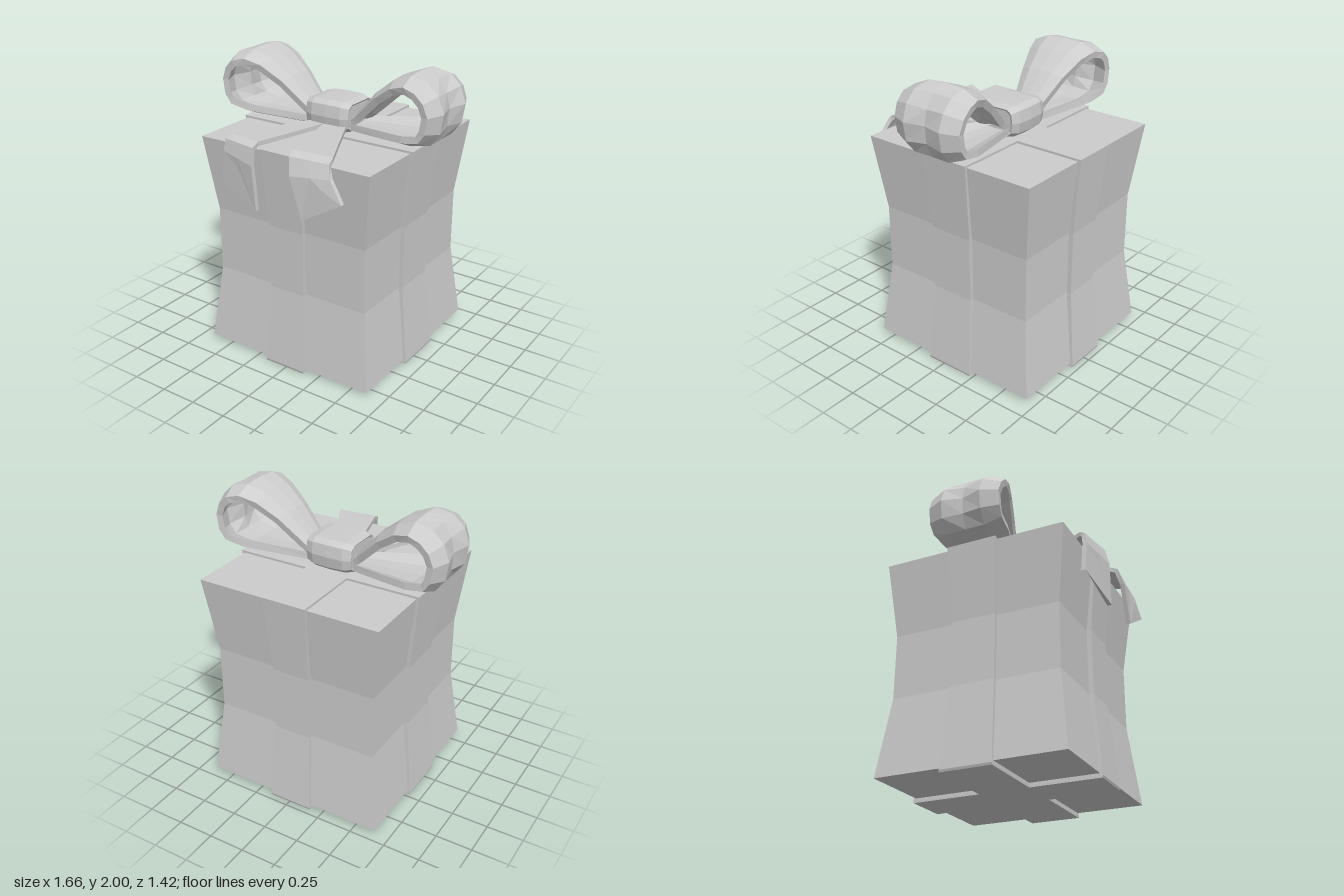
import * as THREE from 'three';

const CX = -0.01, CZ = -0.053; // axis of the box and bow

// Flat-shaded solid through equal-length closed sections, capped at both ends
function loft(sections) {
  const tris = [], n = sections[0].length;
  for (let i = 0; i < sections.length - 1; i++) {
    for (let j = 0; j < n; j++) {
      const k = (j + 1) % n, a = sections[i], b = sections[i + 1];
      tris.push([a[j], a[k], b[k]], [a[j], b[k], b[j]]);
    }
  }
  const first = sections[0], last = sections[sections.length - 1];
  for (let j = 1; j < n - 1; j++) {
    tris.push([first[0], first[j + 1], first[j]], [last[0], last[j], last[j + 1]]);
  }
  // turn the faces outwards if the signed volume is negative
  const V = (p) => new THREE.Vector3(...p);
  let volume = 0;
  for (const [a, b, c] of tris) volume += V(a).dot(V(b).cross(V(c)));
  if (volume < 0) tris.forEach((t) => t.reverse());
  const g = new THREE.BufferGeometry();
  g.setAttribute('position', new THREE.Float32BufferAttribute(tris.flat(2), 3));
  g.computeVertexNormals();
  return g;
}

// Rectangular column from rows of [y, half x, half z]
const column = (rows) => loft(rows.map(([y, hx, hz]) =>
  [[-1, -1], [1, -1], [1, 1], [-1, 1]].map(([sx, sz]) => [CX + sx * hx, y, CZ + sz * hz])));

// Bow loop: a puffed ribbon swept along [x, y, half width, centre dip]
function bowLoop(side) {
  const path = [
    [0.12, 1.63, 0.1, 0], [0.17, 1.67, 0.11, 0], [0.33, 1.84, 0.165, 0], [0.47, 1.95, 0.21, 0],
    [0.6, 2.0, 0.245, 0], [0.72, 1.975, 0.26, 0.01], [0.8, 1.9, 0.26, 0.03],
    [0.84, 1.79, 0.255, 0.045], [0.82, 1.66, 0.255, 0.035], [0.75, 1.57, 0.25, 0.01],
    [0.6, 1.54, 0.235, 0], [0.4, 1.535, 0.18, 0], [0.12, 1.53, 0.1, 0],
  ];
  return loft(path.map(([x, y, w, dip], i) => {
    const p = path[Math.max(i - 1, 0)], q = path[Math.min(i + 1, path.length - 1)];
    const len = Math.hypot(q[0] - p[0], q[1] - p[1]);
    const nx = (q[1] - p[1]) / len, ny = -(q[0] - p[0]) / len; // towards the loop's inside
    const outer = [[-1, 0.22 * w], [-0.55, 0.03 * w], [0, dip], [0.55, 0.03 * w], [1, 0.22 * w]];
    const inner = outer.map(([v, d]) => [v * 0.97, d + 0.045]).reverse();
    return [...outer, ...inner].map(([v, d]) =>
      [side * (x + nx * d) - 0.003, y + ny * d, CZ + v * w]);
  }));
}

// Knot: rounded sleeve across the middle of the bow
function knot() {
  const outline = [[-0.7, 1], [0.7, 1], [0.93, 0.75], [1, 0], [0.93, -0.7], [0.7, -1], [-0.7, -1],
    [-0.93, -0.7], [-1, 0], [-0.93, 0.75]];
  return loft([[-0.155, 0.72], [-0.165, 0.84], [-0.11, 0.97], [0, 1], [0.11, 0.97], [0.165, 0.84], [0.155, 0.72]]
    .map(([x, s]) => outline.map(([z, y]) => [CX + x, 1.635 + y * 0.105 * s, CZ + z * 0.174 * s])));
}

// Tail: thin strip through rows of [outer edge, inner edge, underside offset, centre lift]
const tail = (rows) => loft(rows.map(([o, n, [dy, dz], lift]) => {
  const mid = o.map((v, i) => (v + n[i]) / 2);
  mid[1] += lift;
  const top = [o, mid, n];
  const under = top.map(([x, y, z]) => [x, y + dy, z + dz]).reverse();
  return [...top, ...under];
}));

export function createModel() {
  const group = new THREE.Group();
  const grey = new THREE.MeshStandardMaterial({ color: 0xcccccc });
  grey.name = 'light grey';
  const add = (name, geometry) => {
    const mesh = new THREE.Mesh(geometry, grey);
    mesh.name = name;
    group.add(mesh);
  };

  // waisted box and the two bands wrapped around it
  add('box', column([[0.03, 0.64, 0.64], [0.56, 0.578, 0.578], [1.0, 0.578, 0.578], [1.515, 0.64, 0.64]]));
  add('frontBackRibbon', column([[0, 0.152, 0.655], [0.015, 0.152, 0.66], [0.56, 0.13, 0.61],
    [1.0, 0.13, 0.61], [1.53, 0.152, 0.66]]));
  add('sideRibbon', column([[0, 0.655, 0.175], [0.015, 0.66, 0.175], [0.56, 0.605, 0.153],
    [1.0, 0.605, 0.153], [1.53, 0.66, 0.175]]));

  // bow
  add('leftBowLoop', bowLoop(1));
  add('rightBowLoop', bowLoop(-1));
  add('bowKnot', knot());

  // tails running forward over the lid and hanging down with notched ends
  const flat = [-0.03, 0], bend = [-0.025, -0.02], down = [0, -0.03];
  add('rightTail', tail([
    [[-0.13, 1.585, 0.08], [-0.02, 1.585, 0.08], flat, 0],
    [[-0.3, 1.585, 0.41], [-0.1, 1.585, 0.41], flat, 0],
    [[-0.395, 1.585, 0.6], [-0.155, 1.585, 0.62], flat, 0],
    [[-0.405, 1.56, 0.635], [-0.155, 1.56, 0.68], bend, 0],
    [[-0.415, 1.48, 0.65], [-0.15, 1.45, 0.705], down, 0],
    [[-0.44, 1.27, 0.645], [-0.13, 1.155, 0.7], down, 0.19],
  ]));
  add('leftTail', tail([
    [[0.13, 1.585, 0.08], [-0.03, 1.585, 0.08], flat, 0],
    [[0.29, 1.585, 0.41], [0.05, 1.585, 0.41], flat, 0],
    [[0.385, 1.585, 0.6], [0.105, 1.585, 0.61], flat, 0],
    [[0.39, 1.56, 0.65], [0.115, 1.56, 0.67], bend, 0],
    [[0.42, 1.48, 0.685], [0.14, 1.45, 0.705], down, 0],
    [[0.51, 1.345, 0.7], [0.225, 1.18, 0.705], down, 0.15],
  ]));
  return group;
}
